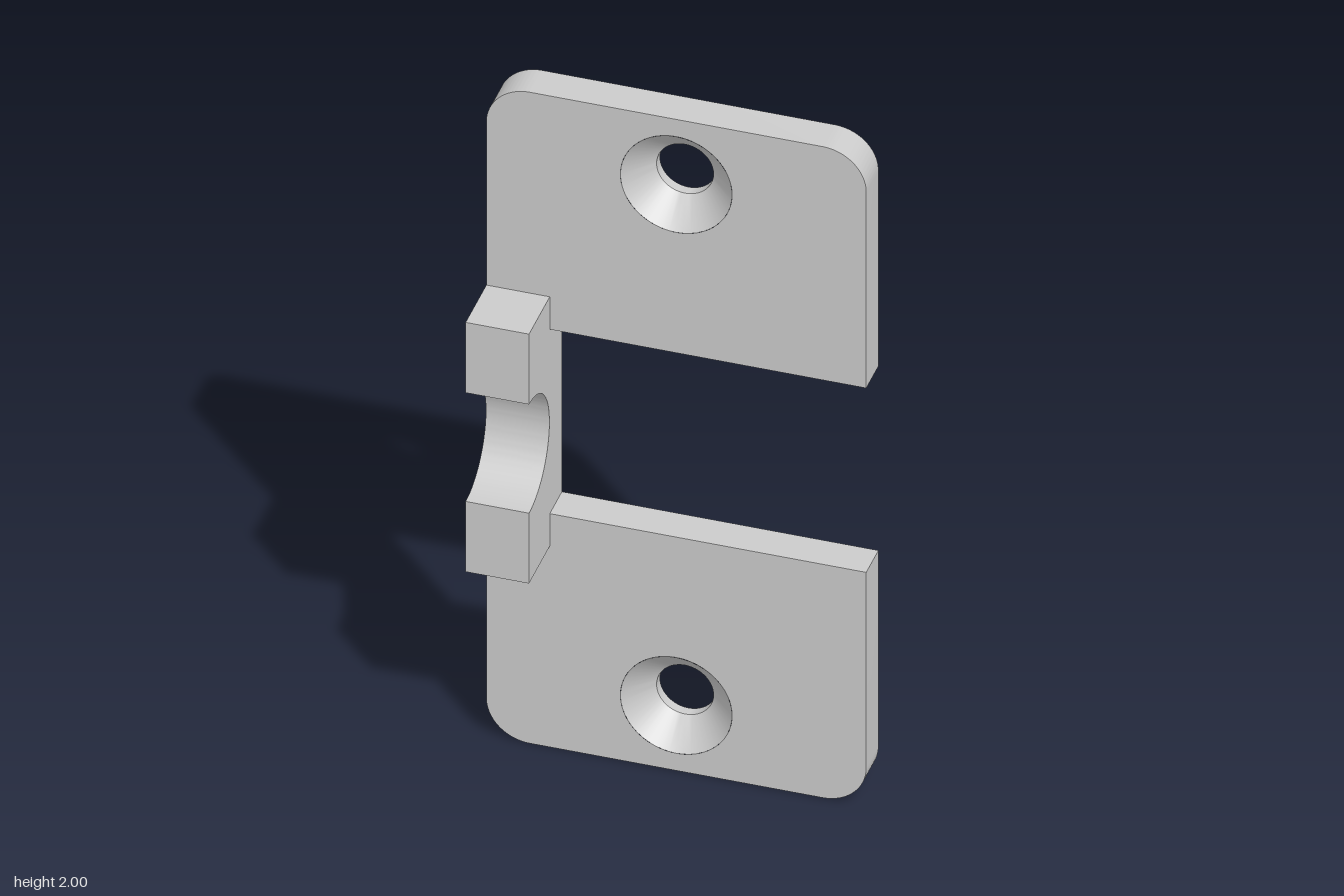
import * as THREE from 'three';
import { toCreasedNormals } from 'three/addons/utils/BufferGeometryUtils.js';

const BACK = -0.135, FRONT = -0.035, TOP = 0.135; // z levels: plate back, plate front, block face
const HALF = 0.5, INNER = -0.333, MID = 1;        // plate half width, slot end x, middle height
const SLOT = 0.283, BLOCK = 0.383, GROOVE = 0.167, CORNER = 0.115;
const HOLE = 0.075, SINK = 0.147, SEG = 48;
const HOLE_Y = [0.2, 1.8];

const material = new THREE.MeshStandardMaterial({ color: 0xcccccc });

function add(group, name, geometry) {
  const mesh = new THREE.Mesh(toCreasedNormals(geometry, 0.5), material);
  mesh.name = name;
  group.add(mesh);
  return mesh;
}

// C-shaped plate outline with rounded outer corners, optionally with screw holes
function plateShape(holeRadius) {
  const s = new THREE.Shape();
  const r = CORNER, c = HALF - r;
  s.moveTo(-c, 0);
  s.lineTo(c, 0);
  s.absarc(c, r, r, -Math.PI / 2, 0);
  s.lineTo(HALF, MID - SLOT);
  s.lineTo(INNER, MID - SLOT);
  s.lineTo(INNER, MID + SLOT);
  s.lineTo(HALF, MID + SLOT);
  s.lineTo(HALF, 2 - r);
  s.absarc(c, 2 - r, r, 0, Math.PI / 2);
  s.lineTo(-c, 2);
  s.absarc(-c, 2 - r, r, Math.PI / 2, Math.PI);
  s.lineTo(-HALF, r);
  s.absarc(-c, r, r, Math.PI, Math.PI * 1.5);
  if (holeRadius) {
    for (const y of HOLE_Y) {
      s.holes.push(new THREE.Path().absarc(0, y, holeRadius, 0, Math.PI * 2, true));
    }
  }
  return s;
}

// Side walls only of an extruded shape
function wallGeometry(shape, depth) {
  const full = new THREE.ExtrudeGeometry(shape, { depth, bevelEnabled: false, curveSegments: 16 });
  const { start, count } = full.groups[1];
  const positions = full.attributes.position.array.slice(start * 3, (start + count) * 3);
  return new THREE.BufferGeometry().setAttribute('position', new THREE.BufferAttribute(positions, 3));
}

export function createModel() {
  const model = new THREE.Group();
  model.name = 'slottedBracket';

  // Plate: front face with wide openings, back face with narrow ones, outer walls
  const plate = new THREE.Group();
  plate.name = 'plate';
  model.add(plate);
  add(plate, 'plateFront', new THREE.ShapeGeometry(plateShape(SINK), SEG).translate(0, 0, FRONT));

  const back = new THREE.ShapeGeometry(plateShape(HOLE), SEG);
  // mirror in x (the back faces away from the front), then turn it round
  back.scale(-1, 1, 1);
  const index = back.index.array;
  for (let i = 0; i < index.length; i += 3) [index[i], index[i + 1]] = [index[i + 1], index[i]];
  back.rotateY(Math.PI).translate(0, 0, BACK);
  add(plate, 'plateBack', back);

  add(plate, 'plateEdge', wallGeometry(plateShape(), FRONT - BACK).translate(0, 0, BACK));

  // Countersunk screw holes
  const sinkStart = FRONT - (SINK - HOLE);
  const profile = [[SINK, FRONT], [HOLE, sinkStart], [HOLE, BACK]].map(([r, z]) => new THREE.Vector2(r, z));
  HOLE_Y.forEach((y, i) => {
    const hole = new THREE.LatheGeometry(profile, SEG).rotateX(Math.PI / 2).translate(0, y, 0);
    add(plate, i ? 'upperScrewHole' : 'lowerScrewHole', hole);
  });

  // Block with a half-round groove, drawn in z and y and extruded along x
  const side = new THREE.Shape();
  side.moveTo(FRONT, MID - BLOCK);
  side.lineTo(TOP, MID - BLOCK);
  side.lineTo(TOP, MID - GROOVE);
  side.absarc(TOP, MID, GROOVE, -Math.PI / 2, Math.PI / 2, true);
  side.lineTo(TOP, MID + BLOCK);
  side.lineTo(FRONT, MID + BLOCK);
  const block = new THREE.ExtrudeGeometry(side, { depth: INNER + HALF, bevelEnabled: false, curveSegments: 32 });
  add(model, 'groovedBlock', block.rotateY(-Math.PI / 2).translate(INNER, 0, 0));

  return model;
}
